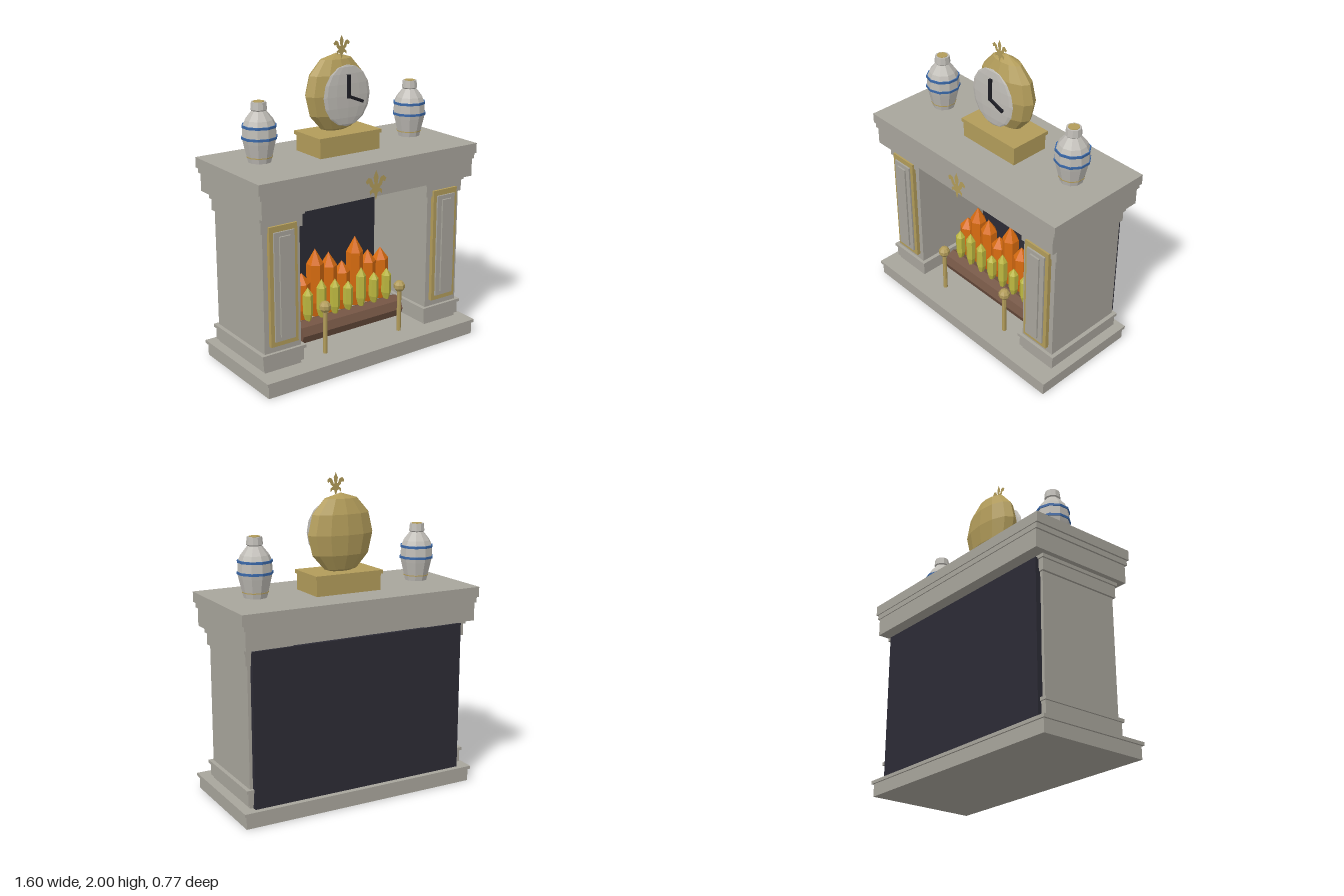
import * as THREE from 'three';

const mat = (name, color, double) => {
  const m = new THREE.MeshStandardMaterial({ color, flatShading: true });
  m.name = name;
  if (double) m.side = THREE.DoubleSide;
  return m;
};

export function createModel() {
  const root = new THREE.Group();
  root.name = 'fireplace';
  const stone = mat('stone', 0xa8a59c);
  const gold = mat('gold', 0xb29c5a, true);
  const soot = mat('soot', 0x2c2b35);
  const wood = mat('wood', 0x745544);
  const orange = mat('orange flame', 0xd96c10);
  const yellow = mat('yellow flame', 0xbdb840);
  const porcelain = mat('porcelain', 0xbfbcb6);
  const blue = mat('blue glaze', 0x3a68a8);
  const black = mat('black', 0x1d1d24);

  const add = (name, geo, material, x = 0, y = 0, z = 0, parent = root) => {
    const m = new THREE.Mesh(geo, material);
    m.name = name;
    m.position.set(x, y, z);
    parent.add(m);
    return m;
  };
  // Box from its limits on each axis
  const box = (name, material, x0, x1, y0, y1, z0, z1, parent = root) =>
    add(name, new THREE.BoxGeometry(x1 - x0, y1 - y0, z1 - z0), material,
      (x0 + x1) / 2, (y0 + y1) / 2, (z0 + z1) / 2, parent);
  const lathe = (pts, sides) =>
    new THREE.LatheGeometry(pts.map(p => new THREE.Vector2(...p)), sides);

  // Hearth
  box('hearthBase', stone, -0.785, 0.785, 0, 0.08, -0.35, 0.375);
  box('hearthTop', stone, -0.798, 0.798, 0.08, 0.1, -0.36, 0.385);

  // Mantel
  box('mantelFrieze', stone, -0.778, 0.778, 1.077, 1.192, -0.375, 0.33);
  box('mantelMoulding', stone, -0.79, 0.79, 1.192, 1.225, -0.381, 0.337);
  box('mantelShelf', stone, -0.802, 0.802, 1.225, 1.29, -0.387, 0.343);

  // Firebox back
  box('fireboxBack', soot, -0.715, 0.715, 0.1, 1.055, -0.325, -0.292);

  // Pillars with stepped caps, feet and raised panels
  for (const s of [-1, 1]) {
    const g = new THREE.Group();
    g.name = s > 0 ? 'leftPillar' : 'rightPillar';
    g.position.x = s * 0.608;
    root.add(g);
    const block = (name, w, y0, y1, z0, z1, m = stone) => box(name, m, -w, w, y0, y1, z0, z1, g);
    block('shaft', 0.127, 0.1, 1.077, -0.292, 0.255);
    block('capLower', 0.142, 0.97, 1.045, -0.302, 0.265);
    block('capUpper', 0.153, 1.045, 1.066, -0.311, 0.275);
    block('footLower', 0.142, 0.122, 0.2, -0.302, 0.265);
    block('footUpper', 0.153, 0.2, 0.22, -0.311, 0.275);
    block('panelFrame', 0.095, 0.265, 1.007, 0.25, 0.28, gold);
    block('panelField', 0.07, 0.297, 0.972, 0.25, 0.291);
    block('panelCentre', 0.037, 0.325, 0.945, 0.25, 0.302);
  }

  // Log
  const log = add('log', new THREE.CylinderGeometry(0.073, 0.073, 0.775, 8), wood, 0, 0.196, 0.07);
  log.rotation.z = Math.PI / 2;

  // Flames: six-sided spikes, tall orange behind, short yellow in front
  const flame = (name, r, y0, y1, m, x, z) => {
    const h = y1 - y0;
    add(name, lathe([[0, 0], [r * 0.55, 0], [r, h * 0.22], [r, h * 0.78], [0, h]], 6), m, x, y0, z);
  };
  const tall = [0.557, 0.695, 0.653, 0.573, 0.716, 0.605, 0.6];
  const short = [0.483, 0.515, 0.495, 0.456, 0.525, 0.47, 0.475];
  tall.forEach((top, i) => {
    const x = (i - 3) * 0.102;
    flame('orangeFlame', 0.055, 0.25, top, orange, x, 0);
    flame('yellowFlame', 0.032, 0.262, short[i], yellow, x, 0.07);
  });

  // Andirons
  for (const s of [-1, 1]) {
    add('andironPost', new THREE.CylinderGeometry(0.014, 0.014, 0.29, 8), gold, s * 0.287, 0.245, 0.23);
    add('andironKnob', new THREE.SphereGeometry(0.038, 8, 5), gold, s * 0.287, 0.406, 0.23);
  }

  // Vases
  for (const s of [-1, 1]) {
    const g = new THREE.Group();
    g.name = s > 0 ? 'leftVase' : 'rightVase';
    g.position.set(s * 0.56, 1.29, -0.04);
    root.add(g);
    add('vaseBody', lathe([[0, 0.012], [0.07, 0.012], [0.098, 0.13], [0.104, 0.16], [0.1, 0.23],
      [0.085, 0.265], [0.043, 0.318], [0.05, 0.325], [0.045, 0.37], [0, 0.37]], 10), porcelain, 0, 0, 0, g);
    for (const [y, r] of [[0.16, 0.108], [0.228, 0.105]])
      add('blueBand', new THREE.CylinderGeometry(r, r, 0.015, 10), blue, 0, y, 0, g);
    add('goldBand', new THREE.CylinderGeometry(0.08, 0.08, 0.006, 10), gold, 0, 0.045, 0, g);
    add('goldMouth', new THREE.CylinderGeometry(0.034, 0.034, 0.006, 10), gold, 0, 0.37, 0, g);
  }

  // Clock
  box('clockPlinth', gold, -0.22, 0.22, 1.29, 1.392, -0.168, 0.093);
  box('clockPlinthTop', gold, -0.23, 0.23, 1.392, 1.415, -0.178, 0.1);
  add('clockBody', new THREE.SphereGeometry(1, 12, 6), gold, 0, 1.64, -0.06).scale.set(0.222, 0.245, 0.098);
  add('clockFace', new THREE.SphereGeometry(1, 12, 8), porcelain, 0, 1.643, 0.055).scale.set(0.17, 0.188, 0.016);
  box('minuteHand', black, -0.01, 0.01, 1.63, 1.772, 0.066, 0.082);
  const hour = box('hourHand', black, -0.058, 0.058, -0.009, 0.009, -0.008, 0.008);
  hour.position.set(0.05, 1.621, 0.075);
  hour.rotation.z = -0.38;

  // Flat three-petalled ornaments, mirrored from a half outline
  const half = [[0, 1], [0.2, 0.55], [0.12, 0.08], [0.2, 0.08], [0.36, 0.48], [0.6, 0.58], [0.82, 0.35],
    [0.72, 0.15], [0.55, 0.22], [0.48, 0], [0.28, -0.2], [0.5, -0.35], [0.48, -0.62], [0.3, -0.45],
    [0.15, -0.5], [0, -1]];
  const outline = [...half, ...half.slice(1, -1).reverse().map(([x, y]) => [-x, y])];
  const ornament = new THREE.ShapeGeometry(new THREE.Shape(outline.map(p => new THREE.Vector2(...p))));
  add('clockFinial', ornament, gold, 0, 1.928, 0).scale.set(0.072, 0.072, 1);
  add('mantelOrnament', ornament, gold, 0, 1.154, 0.35).scale.set(0.093, 0.093, 1);

  return root;
}
